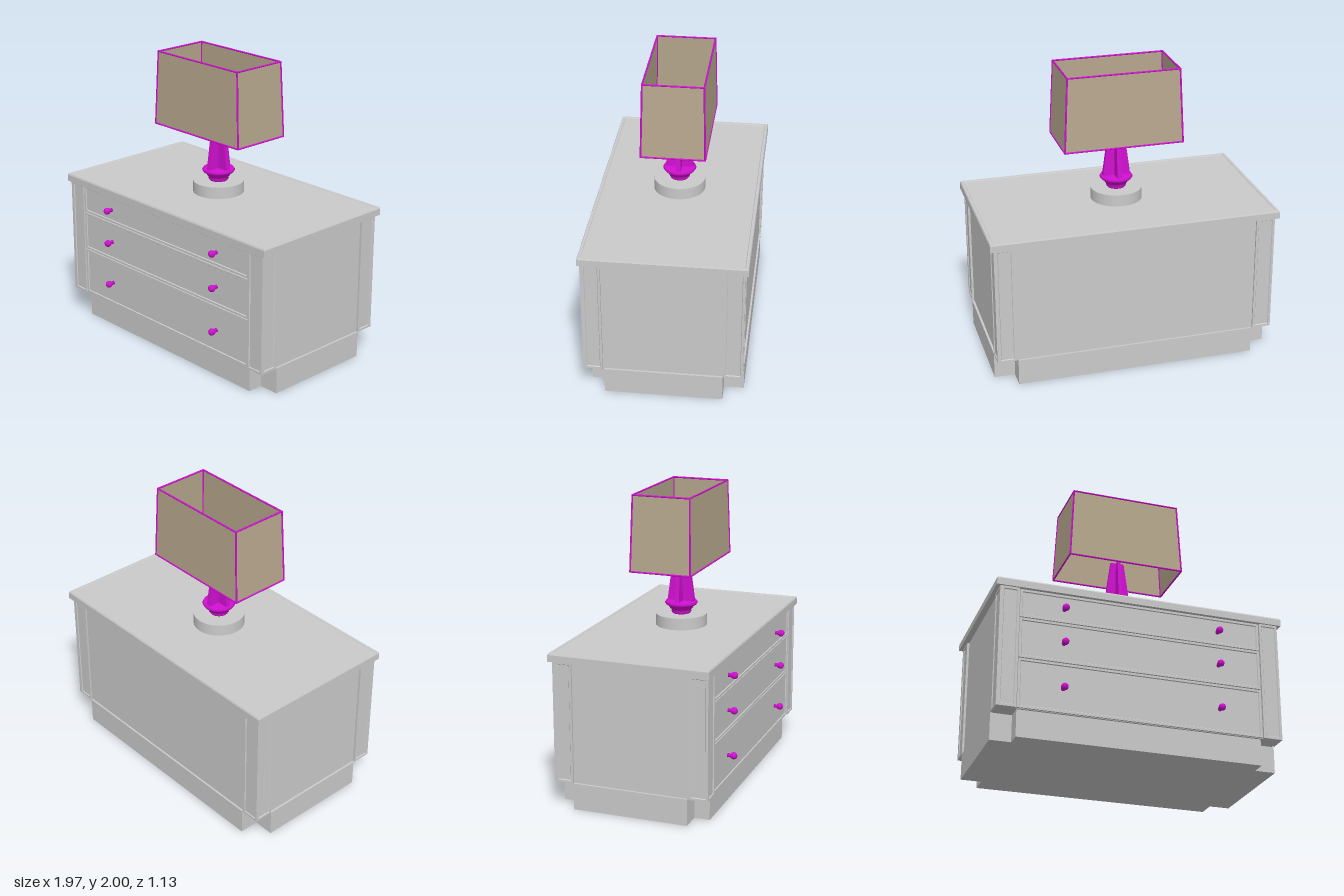
import * as THREE from 'three';

const material = (name, color) => {
  const m = new THREE.MeshStandardMaterial({ color });
  m.name = name;
  return m;
};

// Rectangles [halfWidth, halfHeight, z] joined in order, optionally capped at both ends
function loft(rects, capped = true) {
  const rings = rects.map(([w, h, z]) => [[-w, -h, z], [w, -h, z], [w, h, z], [-w, h, z]]);
  const pos = [];
  const quad = (a, b, c, d) => pos.push(...a, ...b, ...c, ...a, ...c, ...d);
  for (let i = 0; i < rings.length - 1; i++) {
    for (let k = 0; k < 4; k++) {
      const n = (k + 1) % 4;
      quad(rings[i][k], rings[i][n], rings[i + 1][n], rings[i + 1][k]);
    }
  }
  if (capped) {
    const [a, b, c, d] = rings[0];
    quad(d, c, b, a);
    quad(...rings[rings.length - 1]);
  }
  const g = new THREE.BufferGeometry();
  g.setAttribute('position', new THREE.Float32BufferAttribute(pos, 3));
  g.computeVertexNormals();
  return g;
}

// Plate facing +z with a raised border around a sunken field
const framedPanel = (w, h, t, border = 0.015, sink = 0.006) => loft([
  [w / 2, h / 2, 0], [w / 2, h / 2, t],
  [w / 2 - border, h / 2 - border, t],
  [w / 2 - border - 0.004, h / 2 - border - 0.004, t - sink],
]);

export function createModel() {
  const grey = material('grey paint', 0xcacaca);
  const magenta = material('magenta metal', 0xd010d0);
  const tan = material('tan fabric', 0xb8a88e);
  tan.side = THREE.DoubleSide;

  const model = new THREE.Group();
  model.name = 'dresserWithLamp';
  const add = (parent, name, geometry, mat, x = 0, y = 0, z = 0) => {
    const m = new THREE.Mesh(geometry, mat);
    m.name = name;
    m.position.set(x, y, z);
    parent.add(m);
    return m;
  };
  const group = (parent, name, x = 0, y = 0, z = 0) => {
    const g = new THREE.Group();
    g.name = name;
    g.position.set(x, y, z);
    parent.add(g);
    return g;
  };

  // Cabinet: plinth with notched corners, carcass, top
  const cabinet = group(model, 'cabinet');
  add(cabinet, 'plinthLong', new THREE.BoxGeometry(1.64, 0.18, 1.023), grey, 0, 0.09, -0.0315);
  add(cabinet, 'plinthWide', new THREE.BoxGeometry(1.92, 0.18, 0.785), grey, 0, 0.09, -0.0175);
  add(cabinet, 'carcass', new THREE.BoxGeometry(1.89, 0.82, 1.025), grey, 0, 0.59, -0.0175);
  const top = loft([
    [0.985, 0.546, 0], [0.985, 0.546, 0.045], [0.98, 0.541, 0.055],
    [0.963, 0.524, 0.055], [0.959, 0.52, 0.05],
  ]).rotateX(-Math.PI / 2);
  add(cabinet, 'top', top, grey, 0, 1, -0.018);

  // Corner posts with a sunken field on both outer faces
  const corners = [[1, 0.45, 0], [1, -0.478, 1], [-1, -0.478, 2], [-1, 0.45, 3]];
  for (const [side, z, turn] of corners) {
    const post = group(cabinet, 'cornerPost', side * 0.895, 0.59, z);
    post.rotation.y = turn * Math.PI / 2;
    add(post, 'postCore', new THREE.BoxGeometry(0.12, 0.82, 0.12), grey, -0.005, 0, -0.005);
    add(post, 'postPanel', framedPanel(0.13, 0.82, 0.01), grey, 0, 0, 0.055);
    add(post, 'postPanel', framedPanel(0.12, 0.82, 0.01), grey, 0.055, 0, -0.005).rotation.y = Math.PI / 2;
  }

  // Drawers, each with two round knobs
  const knobProfile = [[0, 0], [0.014, 0], [0.012, 0.02], [0.02, 0.03], [0.024, 0.043],
    [0.021, 0.056], [0.012, 0.064], [0, 0.067]].map(p => new THREE.Vector2(...p));
  const knobShape = new THREE.LatheGeometry(knobProfile, 20).rotateX(Math.PI / 2);
  for (const [low, high, knobY] of [[0.803, 0.997, 0.895], [0.523, 0.797, 0.655], [0.183, 0.517, 0.345]]) {
    const drawer = group(cabinet, 'drawer');
    add(drawer, 'drawerFront', framedPanel(1.65, high - low, 0.016), grey, 0, (low + high) / 2, 0.492);
    for (const s of [-1, 1]) add(drawer, 'knob', knobShape, magenta, s * 0.53, knobY, 0.5);
  }

  // Lamp foot and turned collar
  const lamp = group(model, 'lamp', 0, 0, -0.017);
  add(lamp, 'lampFoot', new THREE.CylinderGeometry(0.175, 0.175, 0.082, 48), grey, 0, 1.09, 0);
  const collar = [[0.06, 1.13], [0.07, 1.145], [0.062, 1.155], [0.078, 1.165], [0.086, 1.185],
    [0.104, 1.192], [0.112, 1.205], [0.104, 1.218], [0, 1.22]].map(p => new THREE.Vector2(...p));
  add(lamp, 'collar', new THREE.LatheGeometry(collar, 40), magenta);

  // Tapered column of crossed fins
  for (const turn of [0, 1]) {
    const fin = loft([[0.095, 0.016, 0], [0.047, 0.011, 0.36]]).rotateX(-Math.PI / 2);
    add(lamp, 'columnFin', fin, magenta, 0, 1.218, 0).rotation.y = turn * Math.PI / 2;
  }

  // Open rectangular shade with trim along every edge
  const low = [0.405, 0.21, 1.488], high = [0.381, 0.198, 1.995];
  add(lamp, 'shade', loft([low, high], false).rotateX(-Math.PI / 2), tan);
  const corner = ([w, d, y], k) => new THREE.Vector3(k % 3 ? w : -w, y, k < 2 ? -d : d);
  const trim = (a, b) => {
    const dir = b.clone().sub(a);
    const bar = add(lamp, 'shadeTrim', new THREE.CylinderGeometry(0.006, 0.006, dir.length() + 0.006, 8), magenta);
    bar.position.copy(a).add(b).multiplyScalar(0.5);
    bar.quaternion.setFromUnitVectors(new THREE.Vector3(0, 1, 0), dir.normalize());
  };
  for (let k = 0; k < 4; k++) {
    trim(corner(low, k), corner(low, (k + 1) % 4));
    trim(corner(high, k), corner(high, (k + 1) % 4));
    trim(corner(low, k), corner(high, k));
  }
  return model;
}
